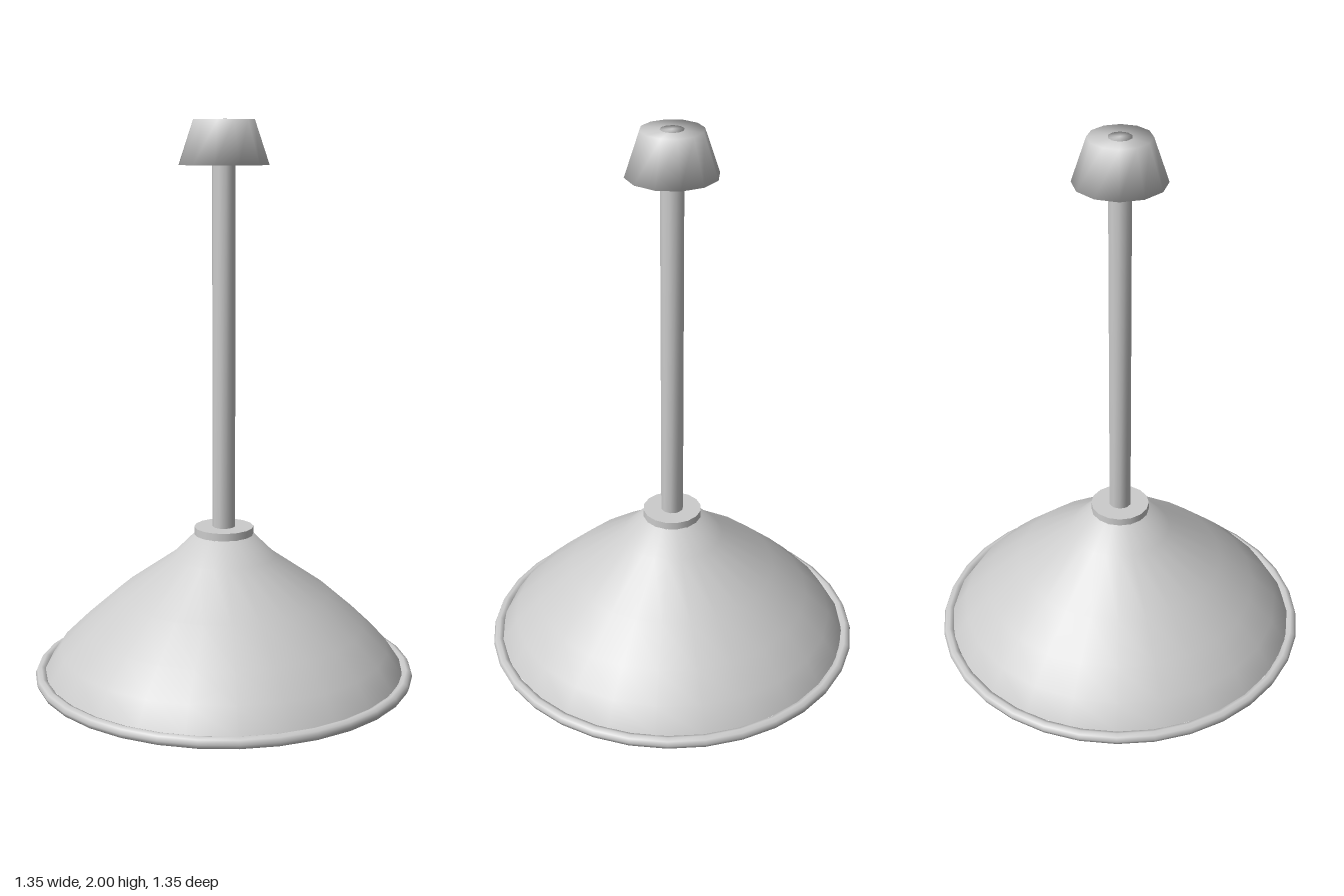
import * as THREE from 'three';
import { mergeVertices } from 'three/addons/utils/BufferGeometryUtils.js';

const lightGrey = new THREE.MeshStandardMaterial({ color: 0xcccccc });
lightGrey.name = 'lightGrey';

// Share all vertices so that normals blend softly over every edge
function soften(geometry) {
  geometry.deleteAttribute('uv');
  geometry.deleteAttribute('normal');
  const merged = mergeVertices(geometry, 1e-4);
  merged.computeVertexNormals();
  return merged;
}

export function createModel() {
  const lamp = new THREE.Group();
  lamp.name = 'pendantLamp';

  function add(name, geometry, y) {
    const mesh = new THREE.Mesh(geometry, lightGrey);
    mesh.name = name;
    mesh.position.y = y;
    lamp.add(mesh);
  }

  // Upright cylinder or cone between two heights
  function addRound(name, rTop, rBottom, yBottom, yTop, sides, soft) {
    const g = new THREE.CylinderGeometry(rTop, rBottom, yTop - yBottom, sides);
    add(name, soft ? soften(g) : g, (yBottom + yTop) / 2);
  }

  // Ceiling mount, hanging rod and the collar on the shade
  addRound('ceilingCanopy', 0.106, 0.157, 1.848, 1.999, 12, true);
  addRound('rod', 0.04, 0.04, 0.56, 2, 10, true);
  addRound('collar', 0.105, 0.105, 0.555, 0.585, 16, false);

  // Shade: a thin closed shell, outside going up, then inside going down
  const outer = [[0.642, 0.068], [0.587, 0.15], [0.5, 0.235], [0.375, 0.345], [0.183, 0.48], [0.105, 0.558]];
  const inner = outer.map(([r, y]) => [r - 0.012, y - 0.008]).reverse();
  inner[inner.length - 1][1] = 0.068;
  const profile = [...outer, [0, 0.558], [0, 0.55], ...inner, outer[0]]
    .map(([r, y]) => new THREE.Vector2(r, y));
  add('shade', soften(new THREE.LatheGeometry(profile, 24)), 0);

  // Rolled rim
  const rim = new THREE.TorusGeometry(0.655, 0.021, 8, 32);
  rim.rotateX(Math.PI / 2);
  add('rim', rim, 0.056);

  // Socket and bulb
  addRound('socket', 0.1, 0.1, 0.3, 0.552, 16, false);
  add('bulb', new THREE.SphereGeometry(0.177, 12, 8), 0.177);

  return lamp;
}
